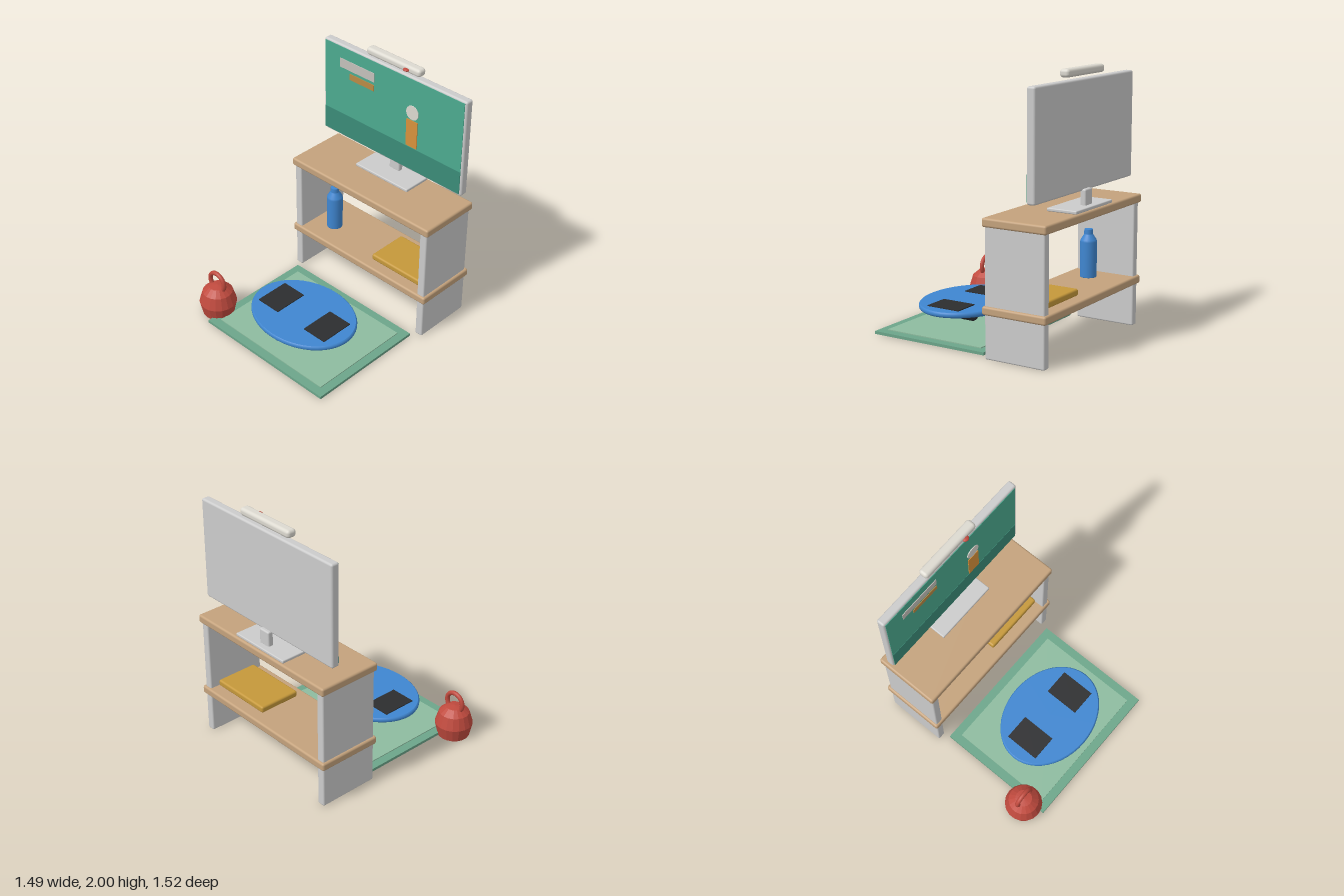
import * as THREE from 'three';
import { RoundedBoxGeometry } from 'three/addons/geometries/RoundedBoxGeometry.js';

const paint = (color, flatShading = false) => new THREE.MeshStandardMaterial({ color, flatShading });
const GREY = paint(0xcccccc), WOOD = paint(0xc4a27c), BLUE = paint(0x3f86d0);
const BLACK = paint(0x2c2d2f), RED = paint(0xc04a3e), ORANGE = paint(0xd8923c), WHITE = paint(0xdcd9d0);
const CX = 0.055; // centre line of the furniture and mat

export function createModel() {
  const model = new THREE.Group();
  model.name = 'exerciseCorner';

  const add = (name, geometry, material, x = 0, y = 0, z = 0, parent = model) => {
    const mesh = new THREE.Mesh(geometry, material);
    mesh.name = name;
    mesh.position.set(x, y, z);
    parent.add(mesh);
    return mesh;
  };
  // Box given by its limits on each axis; radius > 0 rounds the edges
  const box = (name, material, [x0, x1], [y0, y1], [z0, z1], radius = 0, parent = model) => {
    const size = [x1 - x0, y1 - y0, z1 - z0];
    const geometry = radius ? new RoundedBoxGeometry(...size, 3, radius) : new THREE.BoxGeometry(...size);
    return add(name, geometry, material, (x0 + x1) / 2, (y0 + y1) / 2, (z0 + z1) / 2, parent);
  };
  const lathe = (points, segments) =>
    new THREE.LatheGeometry(points.map(([r, y]) => new THREE.Vector2(r, y)), segments);
  const group = (name) => {
    const g = new THREE.Group();
    g.name = name;
    model.add(g);
    return g;
  };

  // Stand: two boards on two upright panels
  const stand = group('mediaStand');
  box('topBoard', WOOD, [-0.635, 0.745], [0.94, 1.005], [-0.76, -0.245], 0.016, stand);
  box('shelfBoard', WOOD, [-0.635, 0.745], [0.32, 0.383], [-0.76, -0.245], 0.016, stand);
  for (const side of [-1, 1]) {
    const x = CX + side * 0.64;
    box(side < 0 ? 'rightPanel' : 'leftPanel', GREY, [x - 0.032, x + 0.032], [0, 0.95], [-0.742, -0.26], 0.012, stand);
  }

  // Television with foot, screen and simple picture
  const tv = group('television');
  box('foot', GREY, [-0.205, 0.315], [1.005, 1.03], [-0.745, -0.505], 0.008, tv);
  box('neck', GREY, [0.005, 0.105], [1.02, 1.145], [-0.698, -0.652], 0.012, tv);
  box('casing', GREY, [-0.635, 0.745], [1.13, 1.92], [-0.672, -0.605], 0.016, tv);
  box('screen', paint(0x4caa8f), [-0.62, 0.727], [1.147, 1.905], [-0.612, -0.601], 0, tv);
  box('screenGround', paint(0x3b8c78), [-0.62, 0.727], [1.147, 1.335], [-0.606, -0.599], 0, tv);
  box('wideBar', paint(0xc4c0ba), [-0.465, -0.12], [1.735, 1.81], [-0.603, -0.596], 0, tv);
  box('narrowBar', paint(0xb98a45), [-0.365, -0.12], [1.66, 1.71], [-0.603, -0.596], 0, tv);
  box('figureBody', ORANGE, [0.207, 0.313], [1.345, 1.57], [-0.603, -0.595], 0, tv);
  const head = add('figureHead', new THREE.CylinderGeometry(0.058, 0.058, 0.008, 28), WHITE, 0.26, 1.635, -0.599, tv);
  head.rotation.x = Math.PI / 2;

  // Sensor bar floating above the television
  const bar = group('sensorBar');
  box('barBody', WHITE, [-0.205, 0.313], [1.94, 2.0], [-0.672, -0.595], 0.024, bar);
  add('barLight', new THREE.SphereGeometry(1, 16, 10), RED, 0.192, 1.97, -0.59, bar).scale.set(0.026, 0.011, 0.022);

  // Bottle on the shelf
  add('bottle', lathe([
    [0, 0], [0.061, 0], [0.063, 0.005], [0.063, 0.27], [0.06, 0.285],
    [0.034, 0.325], [0.033, 0.33], [0.033, 0.363], [0.031, 0.365], [0, 0.365],
  ], 24), BLUE, -0.378, 0.382, -0.455);

  // Flat yoga block on the shelf
  box('shelfBlock', paint(0xc5983a), [0.14, 0.66], [0.383, 0.435], [-0.67, -0.33], 0.016);

  // Mat with a lighter raised field
  const mat = group('floorMat');
  box('matBorder', paint(0x6ca58a), [-0.55, 0.66], [0, 0.022], [-0.205, 0.76], 0, mat);
  box('matField', paint(0x8dbb9f), [-0.483, 0.593], [0.01, 0.029], [-0.138, 0.692], 0, mat);

  // Balance board: oval deck, two grip pads and a short roller
  const board = group('balanceBoard');
  add('deck', lathe([
    [0, 0], [0.97, 0], [0.99, 0.006], [1, 0.014], [1, 0.026], [0.99, 0.035], [0.975, 0.04], [0.975, 0.04], [0, 0.04],
  ], 48), BLUE, CX, 0.157, 0.325, board).scale.set(0.448, 1, 0.345);
  for (const side of [-1, 1]) {
    const x = CX + side * 0.244;
    box(side < 0 ? 'rightPad' : 'leftPad', BLACK, [x - 0.104, x + 0.104], [0.19, 0.204], [0.187, 0.464], 0, board);
  }
  const roller = add('roller', new THREE.CylinderGeometry(0.077, 0.077, 0.1, 24), BLACK, CX, 0.104, 0.333, board);
  roller.rotation.x = Math.PI / 2;

  // Kettlebell: faceted body with a flat bottom and ring handle
  const bell = group('kettlebell');
  add('bellBody', lathe([
    [0, 0], [0.122, 0], [0.146, 0.105], [0.117, 0.2], [0.065, 0.245], [0, 0.255],
  ], 18), paint(0xc04a3e, true), -0.604, 0, 0.605, bell);
  add('bellHandle', new THREE.TorusGeometry(0.077, 0.018, 10, 28), RED, -0.604, 0.28, 0.605, bell);

  return model;
}
